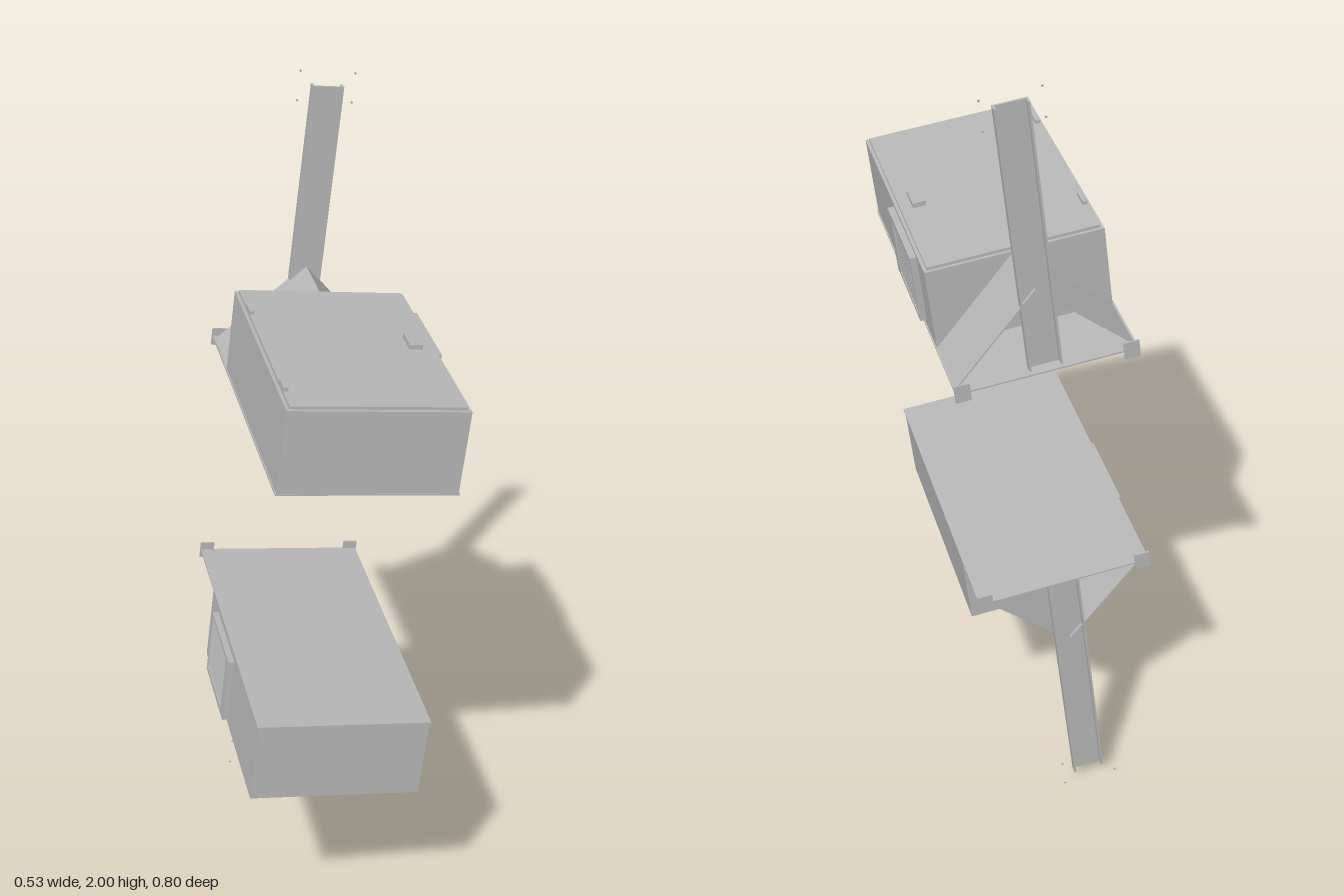
import * as THREE from 'three';

const grey = new THREE.MeshStandardMaterial({ color: 0xb8b8b8 });
grey.name = 'paintedSteelGrey';

// Box given by its min/max limits on each axis
function block(name, x0, x1, y0, y1, z0, z1) {
  const mesh = new THREE.Mesh(new THREE.BoxGeometry(x1 - x0, y1 - y0, z1 - z0), grey);
  mesh.position.set((x0 + x1) / 2, (y0 + y1) / 2, (z0 + z1) / 2);
  mesh.name = name;
  return mesh;
}

function rect(target, x0, x1, y0, y1) {
  return target.moveTo(x0, y0).lineTo(x1, y0).lineTo(x1, y1).lineTo(x0, y1).closePath();
}

// Louvred vent on the +x wall
function createVent() {
  const vent = new THREE.Group();
  vent.name = 'sideVent';
  const shape = rect(new THREE.Shape(), -0.095, 0.132, -0.08, 0.09);
  shape.holes.push(rect(new THREE.Path(), -0.063, 0.127, -0.07, 0.077));
  const frame = new THREE.Mesh(
    new THREE.ExtrudeGeometry(shape, { depth: 0.015, bevelEnabled: false }), grey);
  frame.rotation.y = Math.PI / 2; // shape x becomes -z
  frame.position.x = 0.206;
  frame.name = 'ventFrame';
  vent.add(frame);
  for (let i = 0; i < 8; i++) {
    const slat = new THREE.Mesh(new THREE.BoxGeometry(0.018, 0.147, 0.003), grey);
    slat.position.set(0.2125, 0.0035, 0.051 - i * 0.0237);
    slat.rotation.y = 0.7;
    slat.name = 'ventSlat';
    vent.add(slat);
  }
  return vent;
}

// Open-backed tent of two sloping sheets behind the cabinet
function createGusset() {
  const s = new THREE.Shape();
  s.moveTo(-0.205, -0.102).lineTo(0, 0.1025).lineTo(0.205, -0.102)
    .lineTo(0.2, -0.102).lineTo(0, 0.0975).lineTo(-0.2, -0.102).closePath();
  const gusset = new THREE.Mesh(
    new THREE.ExtrudeGeometry(s, { depth: 0.165, bevelEnabled: false }), grey);
  gusset.position.z = -0.38;
  gusset.name = 'triangularGusset';
  return gusset;
}

// U-channel post, open to the back
function createPost() {
  const s = new THREE.Shape();
  s.moveTo(-0.038, 0.388).lineTo(-0.038, 0.367).lineTo(0.038, 0.367).lineTo(0.038, 0.388)
    .lineTo(0.033, 0.388).lineTo(0.033, 0.372).lineTo(-0.033, 0.372).lineTo(-0.033, 0.388)
    .closePath();
  const post = new THREE.Mesh(
    new THREE.ExtrudeGeometry(s, { depth: 0.658, bevelEnabled: false }), grey);
  post.rotation.x = -Math.PI / 2; // shape y becomes -z, depth becomes y
  post.position.y = -0.102;
  post.name = 'channelPost';
  return post;
}

function createUnit(name) {
  const unit = new THREE.Group();
  unit.name = name;
  unit.add(
    block('cabinet', -0.206, 0.206, -0.101, 0.1, -0.215, 0.399),
    block('lid', -0.198, 0.198, 0.1, 0.107, -0.207, 0.39),
    block('basePlate', -0.209, 0.209, -0.105, -0.101, -0.4, 0.4),
    block('latch', 0.139, 0.17, 0.107, 0.119, 0.04, 0.105),
    createVent(), createGusset(), createPost());
  for (const z of [-0.115, 0.275]) {
    unit.add(block('hinge', -0.198, -0.187, 0.107, 0.115, z, z + 0.046));
  }
  for (const side of [-1, 1]) {
    // Corner tabs at the back of the base plate
    const x = side * 0.193;
    unit.add(block('cornerTab', x - 0.018, x + 0.018, -0.126, -0.082, -0.4, -0.396));
    // Tiny fixing points around the end of the post
    for (const y of [0.513, 0.584]) {
      const dot = new THREE.Mesh(new THREE.CylinderGeometry(0.003, 0.003, 0.001, 8), grey);
      dot.rotation.x = Math.PI / 2;
      dot.position.set(side * 0.066, y, -0.388);
      dot.name = 'fixingPoint';
      unit.add(dot);
    }
  }
  return unit;
}

export function createModel() {
  const model = new THREE.Group();
  model.name = 'pairedCabinets';
  const tilt = -0.119;
  const upper = createUnit('upperUnit');
  upper.position.set(0.036, 1.4125, 0);
  upper.rotation.z = tilt;
  // The lower unit is the upper one turned half way round
  const lower = createUnit('lowerUnit');
  lower.position.set(-0.036, 0.5905, 0);
  lower.rotation.z = tilt + Math.PI;
  model.add(upper, lower);
  return model;
}
